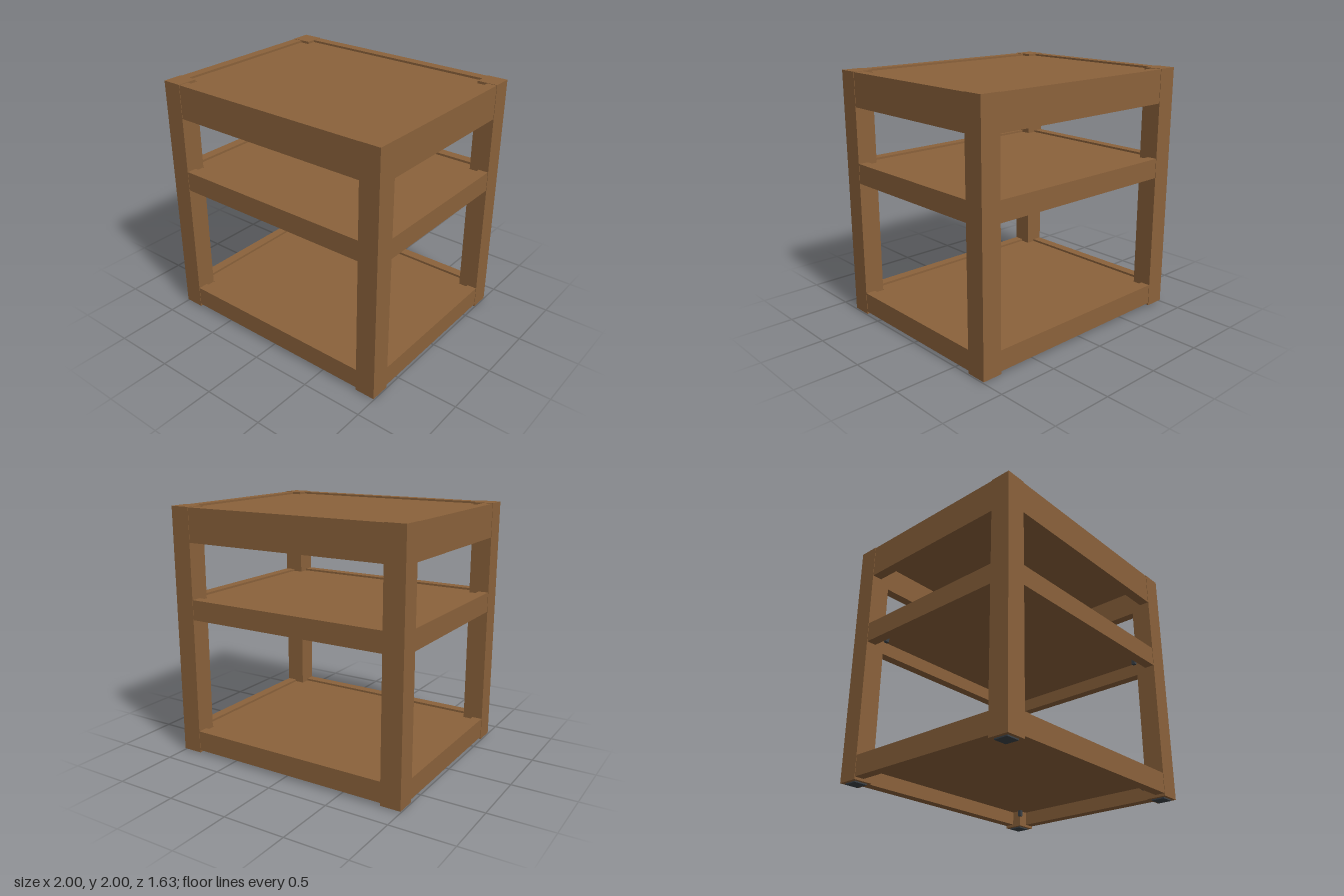
import * as THREE from 'three';

export function createModel() {
  const model = new THREE.Group();
  model.name = 'sideTable';
  const wood = new THREE.MeshStandardMaterial({ color: 0x8b623b });
  wood.name = 'brown wood';
  const dark = new THREE.MeshStandardMaterial({ color: 0x3c4248 });
  dark.name = 'dark grey';

  const W = 1, D = 0.815;            // outer half width and half depth
  const LEG = 0.163, RAIL = 0.08;    // leg side and rail thickness
  const inX = W - LEG, inZ = D - LEG; // inner faces of the legs

  function box(name, w, h, d, x, y, z, material = wood) {
    const mesh = new THREE.Mesh(new THREE.BoxGeometry(w, h, d), material);
    mesh.name = name;
    mesh.position.set(x, y, z);
    model.add(mesh);
  }

  // Square legs on small foot pads
  for (const sx of [-1, 1]) {
    for (const sz of [-1, 1]) {
      const x = sx * (W - LEG / 2), z = sz * (D - LEG / 2);
      box('leg', LEG, 1.99, LEG, x, 1.005, z);
      box('footPad', 0.11, 0.012, 0.11, x, 0.006, z, dark);
    }
  }

  // Panel outline, notched around the four legs
  const px = W - RAIL - 0.009, pz = D - RAIL - 0.009;
  const nx = inX - 0.004, nz = inZ - 0.004;
  const outline = new THREE.Shape([
    [-nx, -pz], [nx, -pz], [nx, -nz], [px, -nz], [px, nz], [nx, nz],
    [nx, pz], [-nx, pz], [-nx, nz], [-px, nz], [-px, -nz], [-nx, -nz],
  ].map(([x, z]) => new THREE.Vector2(x, z)));
  const thickness = 0.04;
  const panelGeometry = new THREE.ExtrudeGeometry(outline, { depth: thickness, bevelEnabled: false });
  panelGeometry.rotateX(-Math.PI / 2);

  // Three levels: four rails around a slightly sunken panel
  const levels = [
    ['bottomShelf', 0.03, 0.193],
    ['middleShelf', 1.125, 1.285],
    ['tableTop', 1.73, 1.997],
  ];
  for (const [name, low, high] of levels) {
    const h = high - low, y = (low + high) / 2;
    for (const s of [-1, 1]) {
      box(name + 'LongRail', 2 * inX, h, RAIL, 0, y, s * (D - RAIL / 2 - 0.003));
      box(name + 'SideRail', RAIL, h, 2 * inZ, s * (W - RAIL / 2 - 0.003), y, 0);
    }
    const panel = new THREE.Mesh(panelGeometry, wood);
    panel.name = name + 'Panel';
    panel.position.y = high - 0.015 - thickness;
    model.add(panel);

    // Small metal brackets under the panel at the leg corners
    for (const sx of [-1, 1]) {
      for (const sz of [-1, 1]) {
        box('cornerBracket', 0.03, 0.05, 0.03, sx * (inX - 0.015), high - 0.08, sz * (inZ - 0.015), dark);
      }
    }
  }
  return model;
}
